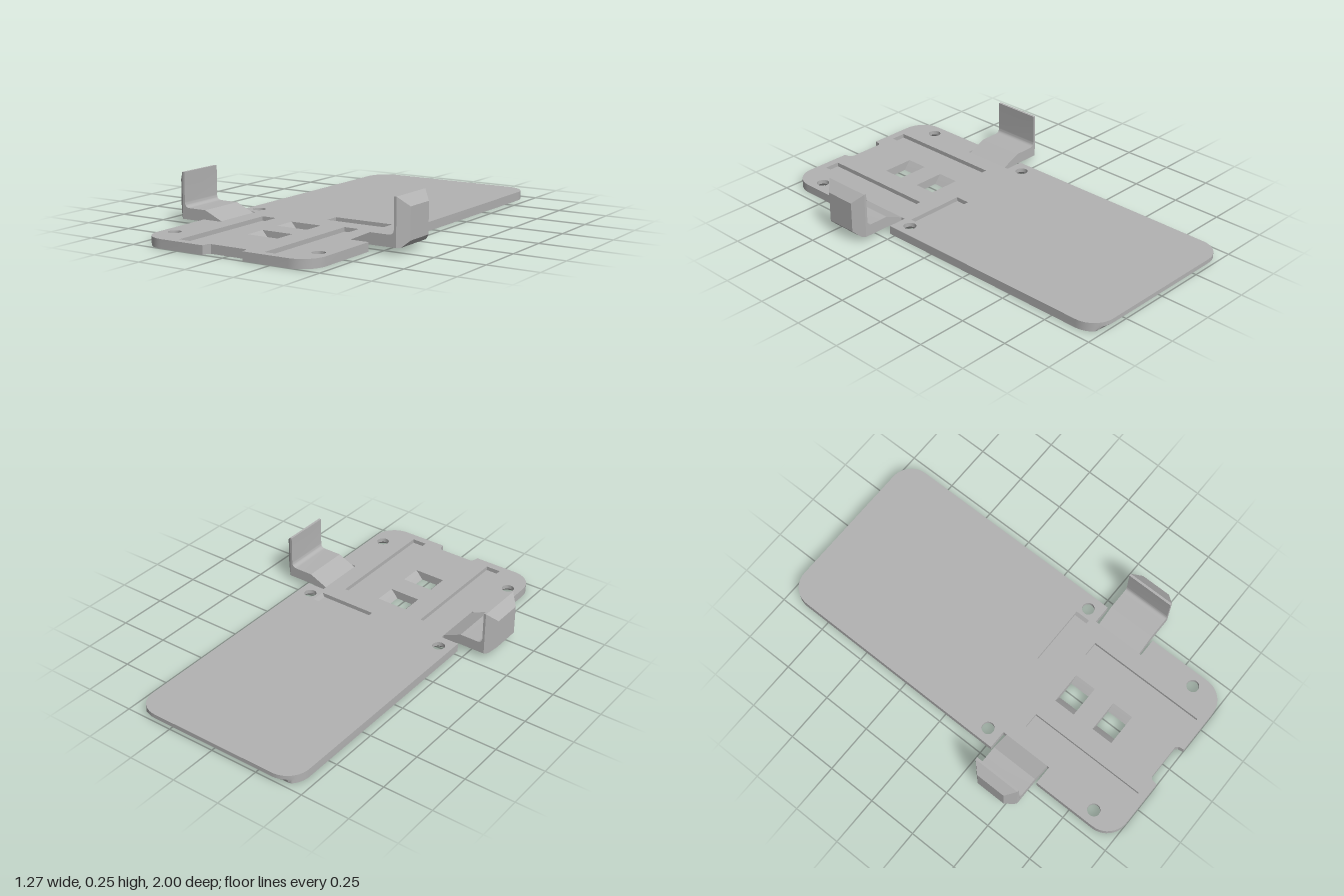
import * as THREE from 'three';
import { toCreasedNormals } from 'three/addons/utils/BufferGeometryUtils.js';

const V2 = (x, z) => new THREE.Vector2(x, z);
const MID = 0.022, TOP = 0.043;

// Solid skin helper: collects triangles from bands between rings and from caps
function createSkin() {
  const tris = [];
  const add = (...points) => points.forEach(p => tris.push(p.x, p.y, p.z));
  return {
    band(low, high) {
      low.forEach((a, i) => {
        const j = (i + 1) % low.length;
        add(a, high[i], low[j]);
        add(low[j], high[i], high[j]);
      });
    },
    cap(loops, y, up) {
      const [outer, ...holes] = loops;
      const all = lift(loops.flat(), y);
      for (const [a, b, c] of THREE.ShapeUtils.triangulateShape(outer, holes)) {
        if (up) add(all[a], all[c], all[b]); else add(all[a], all[b], all[c]);
      }
    },
    quad(a, b, c, d) { add(a, b, c); add(a, c, d); },
    build() {
      const g = new THREE.BufferGeometry();
      g.setAttribute('position', new THREE.Float32BufferAttribute(tris, 3));
      return toCreasedNormals(g, 0.5);
    }
  };
}

const lift = (loop, y) => loop.map(p => new THREE.Vector3(p.x, y, p.y));

// Loops lie in (x, z); the outline runs counter-clockwise, holes clockwise
function arc(cx, cz, r, from, to, n) {
  return Array.from({ length: n + 1 }, (_, i) => {
    const t = from + (to - from) * i / n;
    return V2(cx + r * Math.cos(t), cz + r * Math.sin(t));
  });
}

function outline(backLimit) {
  const q = Math.PI / 2, r = 0.115, w = 0.455;
  const half = [
    ...arc(w - r, -1 + r, r, -q, 0, 10),
    V2(w, 0.28), V2(0.36, 0.28), V2(0.36, 0.556), V2(w, 0.556),
    ...arc(w - r, 1 - r, r, 0, q, 10),
    V2(0.108, 1), V2(0.104, 0.972), V2(0.092, 0.96)
  ];
  const mirrored = half.map(p => V2(-p.x, p.y)).reverse();
  return [...half, ...mirrored].map(p => V2(p.x, Math.max(p.y, backLimit)));
}

const rectHole = (x0, x1, z0, z1) => [V2(x0, z0), V2(x0, z1), V2(x1, z1), V2(x1, z0)];

const screwHoles = r => [-0.39, 0.39].flatMap(x => [0.21, 0.845].map(z =>
  arc(x, z, r, 0, -2 * Math.PI, 24).slice(0, 24)));

const windows = w => [[0.375, 0.487], [0.6, 0.712]].map(([a, b]) => rectHole(-w, w, a, b));

const pockets = end => [
  rectHole(-0.27, -0.193, 0.345, 0.96),
  rectHole(0.193, 0.27, 0.345, 0.96),
  rectHole(0.033, end, 0.175, 0.25)
];

function plateGeometry() {
  const skin = createSkin();
  const bottom = [outline(-0.97), ...windows(0.045), ...screwHoles(0.055)];
  const middle = [outline(-1), ...windows(0.063), ...screwHoles(0.031)];
  const top = [outline(-1), ...windows(0.082), ...screwHoles(0.031)];
  const floors = pockets(0.33), rims = pockets(0.343);

  // Undercut rear edge, countersinks and sloping window sides
  bottom.forEach((loop, i) => {
    skin.band(lift(loop, 0), lift(middle[i], MID));
    skin.band(lift(middle[i], MID), lift(top[i], TOP));
  });
  // Recessed pockets
  floors.forEach((loop, i) => {
    skin.band(lift(loop, MID), lift(rims[i], TOP));
    const [a, b, c, d] = lift(loop, MID);
    skin.quad(a, b, c, d);
  });
  skin.cap(bottom, 0, false);
  skin.cap([...top, ...rims], TOP, true);
  return skin.build();
}

// Bent clip arm, extruded across its width
function armGeometry(width) {
  const s = new THREE.Shape();
  s.moveTo(0.36, 0);
  s.lineTo(0.44, 0.03);
  s.lineTo(0.588, 0.03);
  s.lineTo(0.588, 0.255);
  s.lineTo(0.576, 0.255);
  s.lineTo(0.576, 0.112);
  s.quadraticCurveTo(0.576, 0.085, 0.549, 0.085);
  s.lineTo(0.455, 0.085);
  s.lineTo(0.36, TOP);
  s.closePath();
  const g = new THREE.ExtrudeGeometry(s, { depth: width, bevelEnabled: false, curveSegments: 8 });
  g.translate(0, 0, -width / 2);
  return toCreasedNormals(g, 0.4);
}

// Chamfered outer pad lofted outward along x
function padGeometry(width) {
  const skin = createSkin();
  const ring = (x, y0, y1, inset) => {
    const h = width / 2 - inset;
    return [[-h, y0], [h, y0], [h, y1], [-h, y1]].map(([z, y]) => new THREE.Vector3(x, y, z));
  };
  const rings = [
    ring(0.588, 0.03, 0.255, 0),
    ring(0.603, 0.03, 0.24, 0.015),
    ring(0.633, 0.06, 0.21, 0.045)
  ];
  skin.band(rings[0], rings[1]);
  skin.band(rings[1], rings[2]);
  const [a, b, c, d] = rings[2];
  skin.quad(a, d, c, b);
  return skin.build();
}

export function createModel() {
  const model = new THREE.Group();
  model.name = 'clipMountPlate';
  const grey = new THREE.MeshStandardMaterial({ color: 0xb2b2b2 });
  grey.name = 'grey';

  const mesh = (geometry, name, parent) => {
    const m = new THREE.Mesh(geometry, grey);
    m.name = name;
    parent.add(m);
  };
  mesh(plateGeometry(), 'basePlate', model);

  // A matching clip on each side, turned half a circle
  const width = 0.245, arm = armGeometry(width), pad = padGeometry(width);
  for (const [name, turn] of [['leftClip', 0], ['rightClip', Math.PI]]) {
    const clip = new THREE.Group();
    clip.name = name;
    clip.position.z = 0.4225;
    clip.rotation.y = turn;
    mesh(arm, 'clipArm', clip);
    mesh(pad, 'clipPad', clip);
    model.add(clip);
  }
  return model;
}
